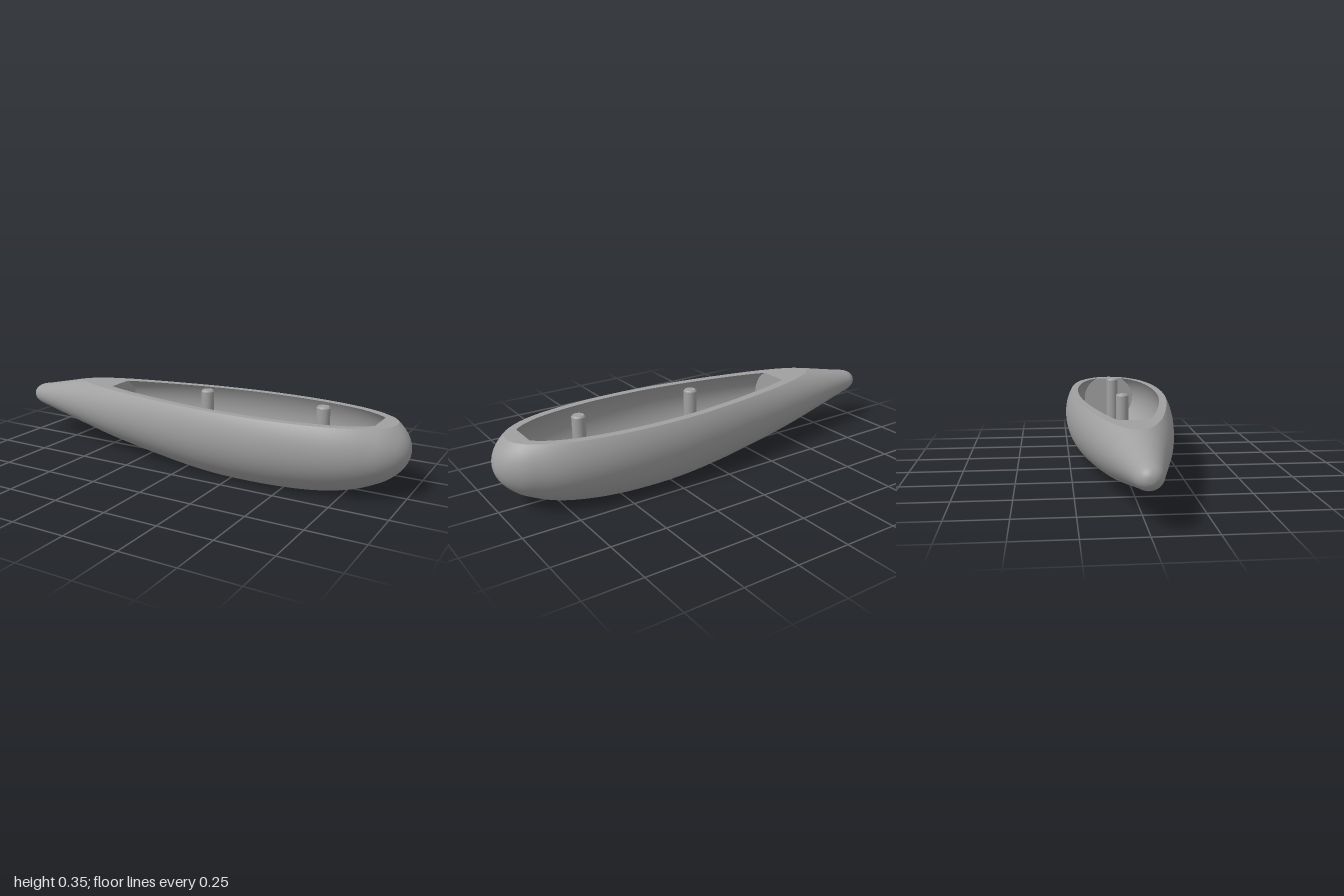
import * as THREE from 'three';

// Teardrop body on the x axis, with slightly flattened round sections
const AXIS_Y = 0.203, SQUASH = 0.94, WALL = 0.03;
const BASE_Y = 0, FLOOR_Y = 0.03, RIM_Y = 0.315;
const depth = (y) => Math.abs(y - AXIS_Y) / SQUASH; // section radius at which a level cut begins
const RIM = depth(RIM_Y), BASE = depth(BASE_Y), FLOOR = depth(FLOOR_Y);
const CAVITY_BACK = -0.455, CAVITY_FRONT = 0.865;

// Profile: x position, half width
const PROFILE = [
  [-1, 0], [-0.997, 0.018], [-0.985, 0.036], [-0.955, 0.053], [-0.9, 0.066], [-0.8, 0.089],
  [-0.67, RIM], [CAVITY_BACK, 0.166], [-0.16, BASE], [0, 0.238], [0.18, 0.255], [0.35, 0.259],
  [0.5, 0.253], [0.63, 0.238], [0.74, BASE], [0.81, 0.193], [CAVITY_FRONT, 0.168], [0.91, 0.143],
  [0.94, RIM], [0.97, 0.086], [0.988, 0.055], [0.997, 0.027], [1, 0],
];

function sampleProfile() {
  const curve = new THREE.CatmullRomCurve3(PROFILE.map(([x, r]) => new THREE.Vector3(x, r, 0)));
  const n = (PROFILE.length - 1) * 6;
  return Array.from({ length: n + 1 }, (_, i) => {
    const p = curve.getPoint(i / n), t = curve.getTangent(i / n);
    return { x: p.x, r: Math.max(0, p.y), dx: t.x, dr: t.y };
  });
}

// Angles between which a section lies inside the two level cuts
function arc(r, low, high) {
  const angle = (c) => (r > c ? Math.asin(c / r) : Math.PI / 2);
  return [-angle(low), angle(high)];
}

// One side of the skin; side is +1 or -1 in z, facing is 1 for outside and -1 for inside
function skin(stations, low, high, side, facing) {
  const rows = 32, pos = [], nor = [], index = [];
  stations.forEach(({ x, r, dx, dr }, i) => {
    const [a, b] = arc(r, low, high);
    for (let j = 0; j <= rows; j++) {
      const f = a + ((b - a) * j) / rows, s = Math.sin(f), c = Math.cos(f);
      pos.push(x, AXIS_Y + SQUASH * r * s, side * r * c);
      const n = new THREE.Vector3(-dr, (s / SQUASH) * dx, side * c * dx).normalize();
      nor.push(n.x * facing, n.y * facing, n.z * facing);
      if (i === stations.length - 1 || j === rows) continue;
      const p = i * (rows + 1) + j, q = p + rows + 1;
      if (side * facing > 0) index.push(p, q, p + 1, q, q + 1, p + 1);
      else index.push(p, p + 1, q, q, p + 1, q + 1);
    }
  });
  const g = new THREE.BufferGeometry();
  g.setAttribute('position', new THREE.Float32BufferAttribute(pos, 3));
  g.setAttribute('normal', new THREE.Float32BufferAttribute(nor, 3));
  g.setIndex(index);
  return g;
}

// Outline of a level cut through the stations
function cutOutline(stations, cut) {
  const inside = (s) => s !== undefined && s.r > cut + 1e-6;
  const half = stations
    .filter((s, i) => inside(s) || inside(stations[i - 1]) || inside(stations[i + 1]))
    .map((s) => new THREE.Vector2(s.x, Math.sqrt(Math.max(0, s.r * s.r - cut * cut))));
  const mirrored = half.filter((p) => p.y > 0).reverse().map((p) => new THREE.Vector2(p.x, -p.y));
  return [...half, ...mirrored];
}

// Flat end of the cavity
function endWall(r) {
  const [a, b] = arc(r, FLOOR, RIM), pts = [];
  for (const side of [1, -1]) {
    for (let j = 0; j <= 24; j++) {
      const f = side > 0 ? a + ((b - a) * j) / 24 : b - ((b - a) * j) / 24;
      pts.push(new THREE.Vector2(side * r * Math.cos(f), AXIS_Y + SQUASH * r * Math.sin(f)));
    }
  }
  return new THREE.ShapeGeometry(new THREE.Shape(pts));
}

export function createModel() {
  const model = new THREE.Group();
  model.name = 'teardropHull';
  const grey = new THREE.MeshStandardMaterial({ color: 0xa0a0a0 });
  grey.name = 'grey';
  const add = (name, geometry, parent = model) => {
    const mesh = new THREE.Mesh(geometry, grey);
    mesh.name = name;
    parent.add(mesh);
    return mesh;
  };

  const outer = sampleProfile();
  const inner = outer
    .filter((s) => s.x > CAVITY_BACK - 0.001 && s.x < CAVITY_FRONT + 0.001)
    .map((s) => ({ ...s, r: s.r - WALL }));

  // Outer shell and cavity lining
  for (const side of [1, -1]) {
    const label = side > 0 ? 'Front' : 'Back';
    add('shell' + label, skin(outer, BASE, RIM, side, 1));
    add('cavityWall' + label, skin(inner, FLOOR, RIM, side, -1));
  }

  // Flat rim around the opening
  const rimShape = new THREE.Shape(cutOutline(outer, RIM));
  rimShape.holes.push(new THREE.Path(cutOutline(inner, RIM)));
  add('rim', new THREE.ShapeGeometry(rimShape).rotateX(-Math.PI / 2).translate(0, RIM_Y, 0));

  // Flat underside and cavity floor
  const base = new THREE.Shape(cutOutline(outer, BASE));
  add('underside', new THREE.ShapeGeometry(base).rotateX(Math.PI / 2).translate(0, BASE_Y, 0));
  const floor = new THREE.Shape(cutOutline(inner, FLOOR));
  add('cavityFloor', new THREE.ShapeGeometry(floor).rotateX(-Math.PI / 2).translate(0, FLOOR_Y, 0));

  // Cavity end walls
  const first = inner[0], last = inner[inner.length - 1];
  add('tailEndWall', endWall(first.r).rotateY(Math.PI / 2).translate(first.x, 0, 0));
  add('noseEndWall', endWall(last.r).rotateY(-Math.PI / 2).translate(last.x, 0, 0));

  // Two upright pegs with chamfered tops
  for (const x of [0.045, 0.615]) {
    const peg = new THREE.Group();
    peg.name = 'peg';
    peg.position.x = x;
    const height = 0.34 - FLOOR_Y;
    add('pegShaft', new THREE.CylinderGeometry(0.03, 0.03, height, 40, 1, true), peg).position.y = FLOOR_Y + height / 2;
    add('pegChamfer', new THREE.CylinderGeometry(0.024, 0.03, 0.007, 40), peg).position.y = 0.3435;
    model.add(peg);
  }
  return model;
}
